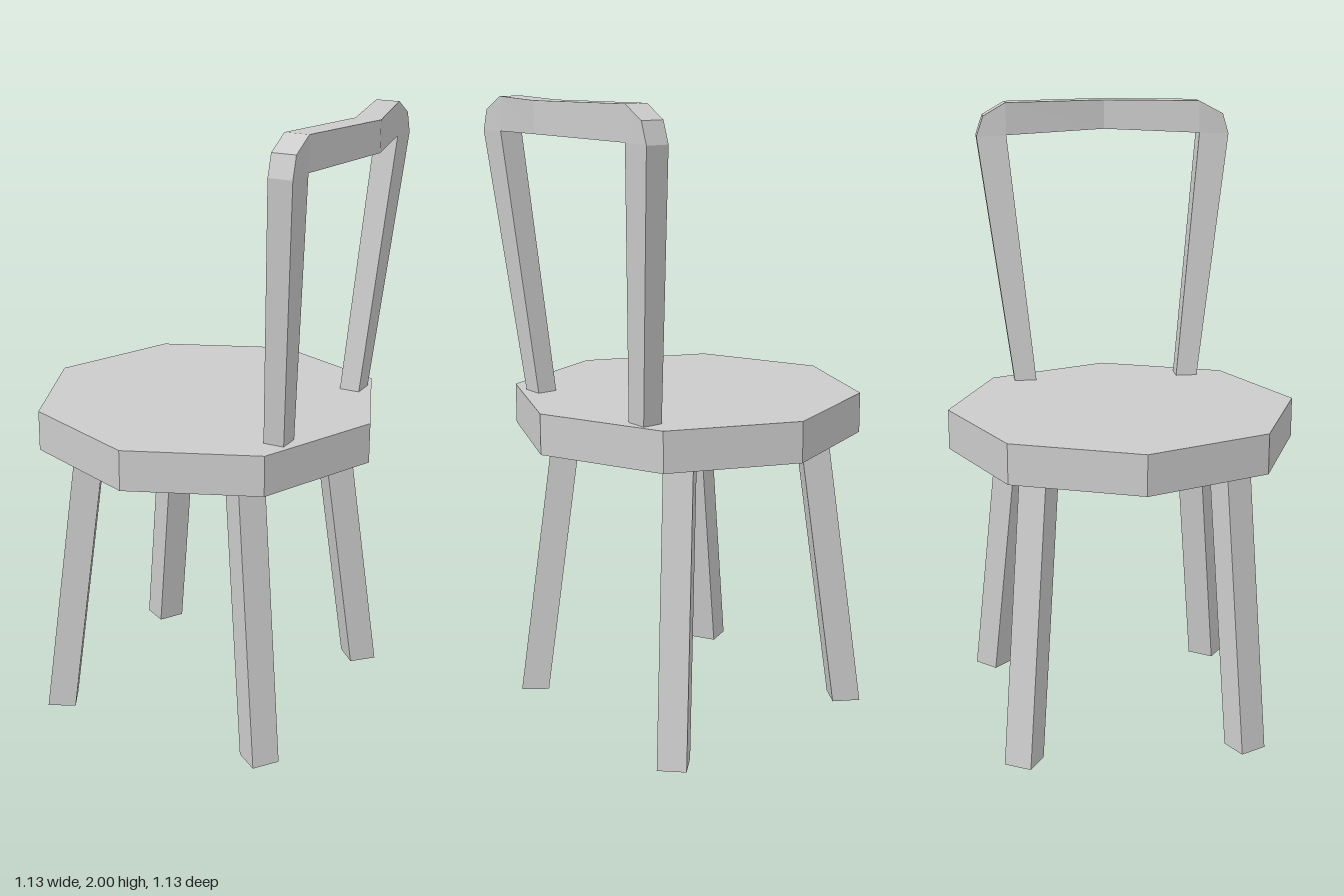
import * as THREE from 'three';

const material = new THREE.MeshStandardMaterial({ color: 0xcccccc, flatShading: true, side: THREE.DoubleSide });

// Skin a chain of four-cornered rings and close both ends.
function loft(rings) {
  const pos = [];
  const quad = (a, b, c, d) => pos.push(...a, ...b, ...c, ...a, ...c, ...d);
  for (let r = 0; r < rings.length - 1; r++) {
    const p = rings[r], q = rings[r + 1];
    for (let i = 0; i < 4; i++) {
      const j = (i + 1) % 4;
      quad(p[i], p[j], q[j], q[i]);
    }
  }
  const s = rings[0], e = rings[rings.length - 1];
  quad(s[3], s[2], s[1], s[0]);
  quad(e[0], e[1], e[2], e[3]);
  const geometry = new THREE.BufferGeometry();
  geometry.setAttribute('position', new THREE.Float32BufferAttribute(pos, 3));
  geometry.computeVertexNormals();
  return geometry;
}

function add(group, name, geometry) {
  const mesh = new THREE.Mesh(geometry, material);
  mesh.name = name;
  group.add(mesh);
  return mesh;
}

// Horizontal square with its first corner turned from +z.
function square(x, y, z, angle) {
  return [0, 1, 2, 3].map((i) => {
    const a = angle + i * Math.PI / 2;
    return [x + 0.065 * Math.sin(a), y, z + 0.065 * Math.cos(a)];
  });
}

export function createModel() {
  const group = new THREE.Group();
  group.name = 'chair';

  // Octagonal seat
  add(group, 'seat', new THREE.CylinderGeometry(0.567, 0.567, 0.13, 8)).position.y = 0.995;

  // Splayed legs, each twisted a little: foot x, foot z, twist, lean x, lean z
  const legs = {
    frontLeftLeg: [0.375, 0.36, 0.16, -0.1, -0.077],
    frontRightLeg: [-0.38, 0.35, -0.31, 0.11, -0.045],
    backLeftLeg: [0.38, -0.42, 0, -0.097, 0.09],
    backRightLeg: [-0.391, -0.367, 0.25, 0.107, 0.07],
  };
  for (const [name, [x, z, twist, dx, dz]] of Object.entries(legs)) {
    add(group, name, loft([square(x, 0, z, twist), square(x + dx, 0.935, z + dz, twist)]));
  }

  // Backrest hoop: outer z, outer y, inner z, inner y, near x, far x
  const hoop = [
    [0.307, 1.05, 0.235, 1.05, 0.35, 0.417],
    [0.418, 1.89, 0.318, 1.893, 0.407, 0.484],
    [0.398, 1.957, 0.318, 1.893, 0.407, 0.484],
    [0.316, 2, 0.318, 1.893, 0.407, 0.484],
    [0, 2, 0, 1.903, 0.484, 0.565],
    [-0.34, 2, -0.338, 1.893, 0.407, 0.484],
    [-0.415, 1.957, -0.338, 1.893, 0.407, 0.484],
    [-0.438, 1.89, -0.338, 1.893, 0.407, 0.484],
    [-0.327, 1.05, -0.253, 1.05, 0.35, 0.417],
  ];
  add(group, 'backrest', loft(hoop.map(([zo, yo, zi, yi, x0, x1]) =>
    [[x0, yo, zo], [x1, yo, zo], [x1, yi, zi], [x0, yi, zi]])));

  return group;
}
